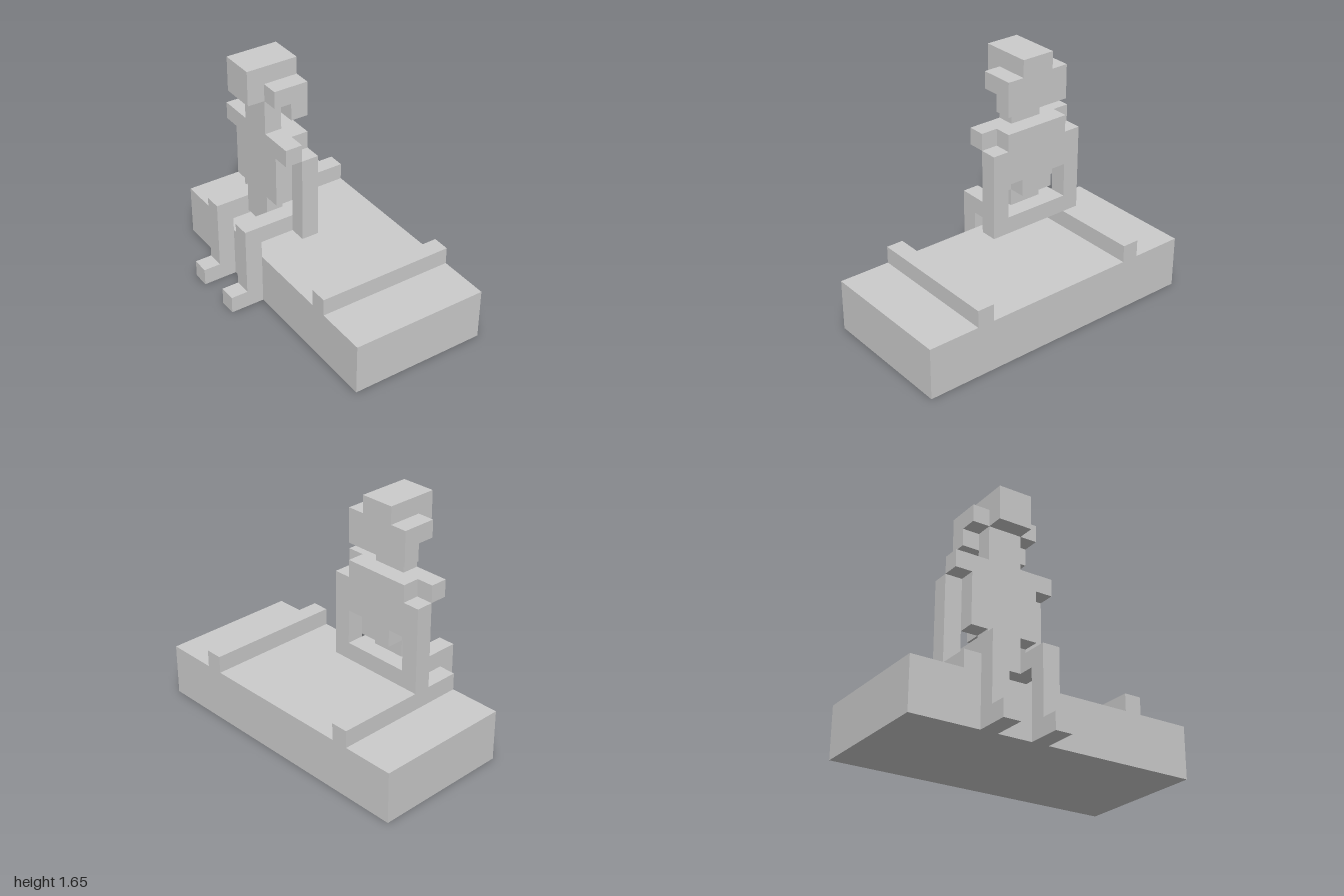
import * as THREE from 'three';

const U = 2 / 17; // size of one grid block
const FIGURE_Z = -2.5; // centre line of the seated figure

const toShape = (pts) => new THREE.Shape(pts.map(([x, y]) => new THREE.Vector2(x, y)));

// Full symmetric outline from the points of its right half, bottom to top
const mirrored = (half) => [...half, ...half.map(([x, y]) => [-x, y]).reverse()];

export function createModel() {
  const model = new THREE.Group();
  model.name = 'seatedFigureOnBench';
  model.scale.setScalar(U);
  const material = new THREE.MeshStandardMaterial({ color: 0xcccccc, flatShading: true });

  const add = (name, geometry, parent = model) => {
    const mesh = new THREE.Mesh(geometry, material);
    mesh.name = name;
    parent.add(mesh);
    return mesh;
  };
  // Box given by its range along each axis
  const box = (name, [x0, x1], [y0, y1], [z0, z1], parent) =>
    add(name, new THREE.BoxGeometry(x1 - x0, y1 - y0, z1 - z0)
      .translate((x0 + x1) / 2, (y0 + y1) / 2, (z0 + z1) / 2), parent);
  // Side profile (x, y) extruded along z
  const profile = (name, pts, z0, z1, parent) =>
    add(name, new THREE.ExtrudeGeometry(toShape(pts), { depth: z1 - z0, bevelEnabled: false })
      .translate(0, 0, z0), parent);
  // Upright slab (z, y), one block thick, with its back at x = back
  const slab = (name, shape, back, parent) =>
    add(name, new THREE.ExtrudeGeometry(shape, { depth: 1, bevelEnabled: false })
      .rotateY(-Math.PI / 2).translate(back, 0, 0), parent);

  // Bench with two raised ridges
  box('bench', [-3, 5], [0, 3], [-8.5, 8.5]);
  for (const z of [-5, 5]) box('ridge', [-3, 5], [3, 4], [z - 0.5, z + 0.5]);

  // Figure, facing -x
  const figure = new THREE.Group();
  figure.name = 'figure';
  figure.position.z = FIGURE_Z;
  model.add(figure);

  // Torso with hips, shoulders and neck
  slab('torso', toShape(mirrored([
    [1, 4], [1, 6], [2, 6], [2, 9], [3, 9], [3, 10], [1, 10], [1, 12],
  ])), -1, figure);

  // Back panel with arms, open in a U around the waist
  const back = toShape(mirrored([[3, 4], [3, 9], [2, 9], [2, 10]]));
  back.holes.push(toShape(mirrored([[2, 5], [2, 7], [1, 7], [1, 6]])));
  slab('backAndArms', back, 0, figure);

  // Head and the stepped hair around its sides and back
  box('head', [-3, 0], [12, 14], [-1, 1], figure);
  profile('hair', [[-1, 11], [0, 11], [0, 13], [-2, 13], [-2, 12], [-1, 12]], -2, 2, figure);

  // Bent legs: thigh, shin and foot
  for (const z of [-2, 1]) {
    profile('leg', [
      [-5, 0], [-3, 0], [-3, 4], [-1, 4], [-1, 5], [-4, 5], [-4, 1], [-5, 1],
    ], z, z + 1, figure);
  }
  return model;
}
